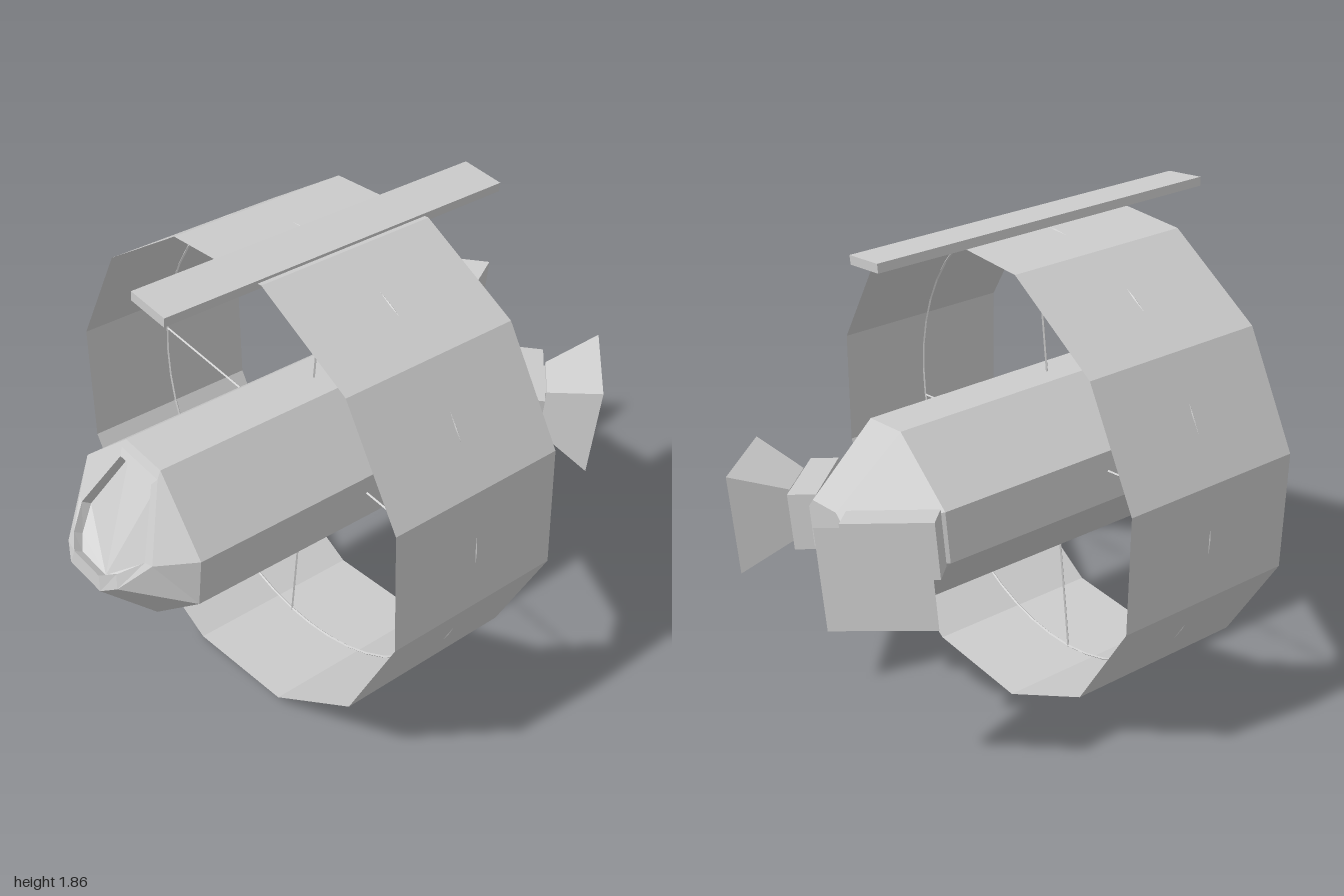
import * as THREE from 'three';

const grey = new THREE.MeshStandardMaterial({ color: 0xcccccc, flatShading: true });
const greyThin = new THREE.MeshStandardMaterial({ color: 0xcccccc, flatShading: true, side: THREE.DoubleSide });

function part(name, geometry, parent, material = grey) {
  const mesh = new THREE.Mesh(geometry, material);
  mesh.name = name;
  parent.add(mesh);
  return mesh;
}

// Each section lists its +x half from bottom to top; mirror it into a closed loop.
const mirrorLoop = half => [...half, ...half.map(([x, y, z]) => [-x, y, z]).reverse()];

// Skin a row of sections running back to front and cap both ends.
function loft(halves) {
  const loops = halves.map(mirrorLoop);
  const n = loops[0].length;
  const pos = loops.flat(2);
  const index = [];
  for (let r = 0; r < loops.length - 1; r++) {
    for (let i = 0; i < n; i++) {
      const a = r * n + i, b = r * n + (i + 1) % n;
      index.push(a, b, b + n, a, b + n, a + n);
    }
  }
  const last = (loops.length - 1) * n;
  for (let i = 1; i < n - 1; i++) {
    index.push(0, i + 1, i, last, last + i, last + i + 1);
  }
  const g = new THREE.BufferGeometry();
  g.setAttribute('position', new THREE.Float32BufferAttribute(pos, 3));
  g.setIndex(index);
  g.computeVertexNormals();
  return g;
}

const octagon = (w, s, z) => [[s, -w, z], [w, -s, z], [w, s, z], [s, w, z]];

// Square frustum along +z, from half-width a at the back to b at the front.
function frustum(a, b, length) {
  const g = new THREE.CylinderGeometry(b * Math.SQRT2, a * Math.SQRT2, length, 4);
  return g.rotateY(Math.PI / 4).rotateX(Math.PI / 2);
}

export function createModel() {
  const root = new THREE.Group();
  root.name = 'spacecraft';

  // Craft frame: local z points to the nose, with slight pitch and roll
  const craft = new THREE.Group();
  craft.name = 'craft';
  const forward = new THREE.Vector3(-0.6, 0.022, 0.8).normalize();
  const up = forward.clone().cross(new THREE.Vector3(0.8, -0.1, 0.6)).normalize();
  const side = up.clone().cross(forward);
  craft.quaternion.setFromRotationMatrix(new THREE.Matrix4().makeBasis(side, up, forward));
  craft.position.set(-0.055, 0.87, 0.13);
  root.add(craft);

  // Hull: tapered tail, octagonal body, pointed nose with recessed windshield
  const windshield = [[0.075, -0.04, 0.995], [0.13, -0.01, 0.96], [0.19, 0.05, 0.885], [0.09, 0.285, 0.79]];
  part('hull', loft([
    octagon(0.115, 0.08, -1.03),
    octagon(0.34, 0.1, -0.74),
    octagon(0.34, 0.1, 0.76),
    [[0.09, -0.1, 1.0], [0.15, -0.06, 0.97], [0.22, 0.05, 0.875], [0.105, 0.31, 0.775]],
    windshield,
    windshield.map(([x, y, z]) => [x * 0.95, y - 0.018, z - 0.032]),
  ]), craft);

  // Twelve-sided band around the hull
  const band = part('ringBand',
    new THREE.CylinderGeometry(0.927, 0.927, 0.75, 12, 1, true)
      .rotateY(Math.PI / 12).rotateX(Math.PI / 2), craft, greyThin);
  band.position.y = 0.03;
  band.rotation.z = 0.145;

  // Thin hoop in the middle of the band, and four spokes to the hull
  const hoop = part('hoop', new THREE.TorusGeometry(0.894, 0.005, 4, 48), craft);
  hoop.position.y = 0.03;
  for (let i = 0; i < 4; i++) {
    const spoke = part('spoke', new THREE.CylinderGeometry(0.005, 0.005, 0.58, 4).translate(0, 0.6, 0), craft);
    spoke.position.y = 0.02;
    spoke.rotation.z = i * Math.PI / 2;
  }

  // Long flat fin on top of the band
  part('topFin', new THREE.BoxGeometry(0.18, 0.035, 1.5), craft).position.y = 0.942;

  // Paired thrusters angled outward at the tail
  for (const s of [1, -1]) {
    const thruster = new THREE.Group();
    thruster.name = s > 0 ? 'leftThruster' : 'rightThruster';
    thruster.position.set(s * 0.45, 0.01, -1.107);
    thruster.rotation.y = s * Math.PI * 0.75;
    craft.add(thruster);
    part('mount', new THREE.BoxGeometry(0.34, 0.22, 0.11), thruster).position.z = -0.265;
    part('neck', frustum(0.09, 0.09, 0.06), thruster).position.z = -0.2;
    part('nozzle', frustum(0.1, 0.195, 0.2), thruster).position.z = -0.1;
  }

  return root;
}
